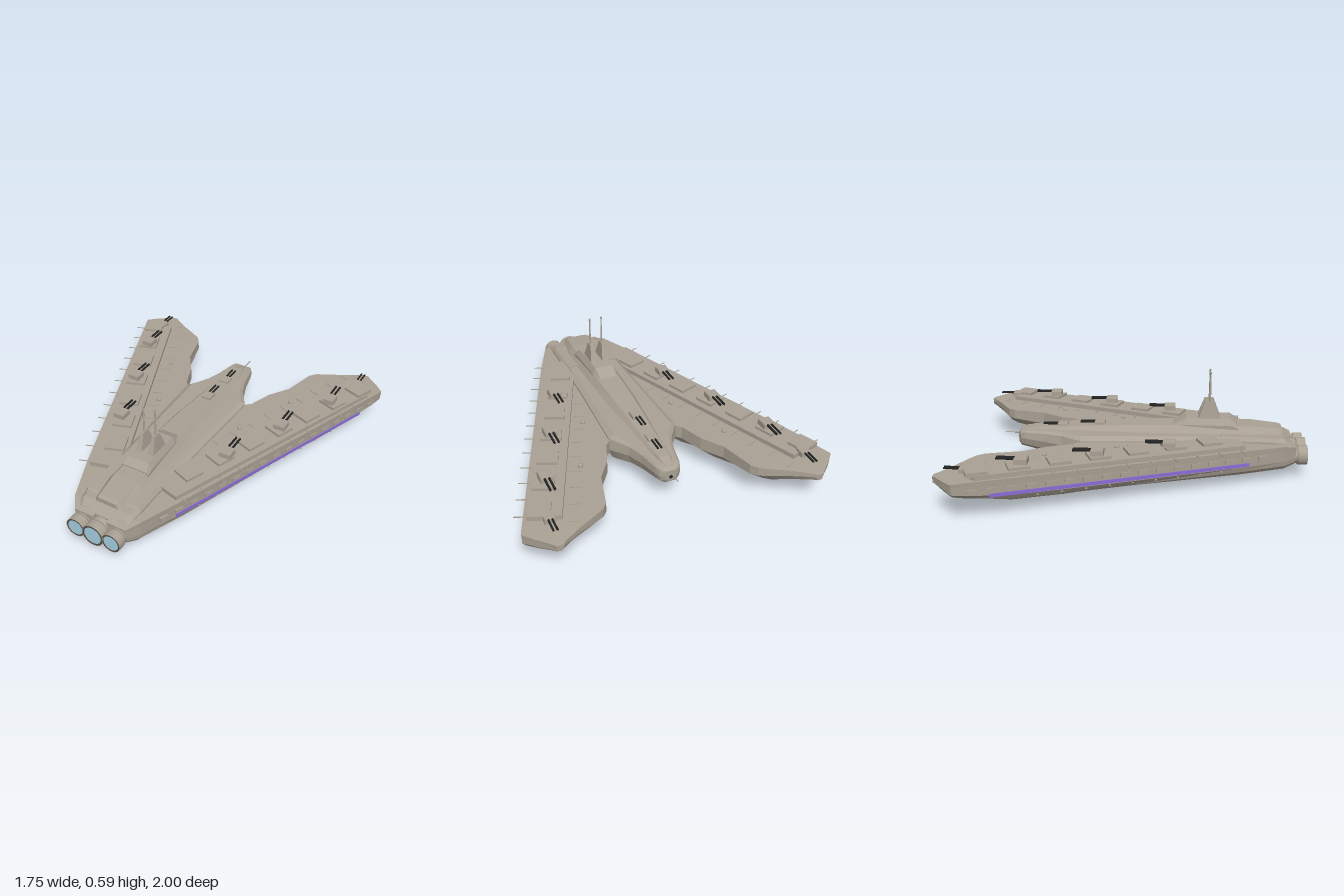
import * as THREE from 'three';

const mat = (name, color) => {
  const m = new THREE.MeshStandardMaterial({ color });
  m.name = name;
  return m;
};

export function createModel() {
  const ship = new THREE.Group();
  ship.name = 'carrierShip';
  const hullMat = mat('hull grey', 0xaaa194);
  const darkMat = mat('dark metal', 0x55514a);
  const gunMat = mat('gun black', 0x222222);
  const glowMat = mat('engine blue', 0xa5cfe2);
  const purpleMat = mat('purple stripe', 0x8a6cd6);
  hullMat.flatShading = true;

  const add = (geo, m, name, x = 0, y = 0, z = 0, parent = ship) => {
    const mesh = new THREE.Mesh(geo, m);
    mesh.name = name;
    mesh.position.set(x, y, z);
    parent.add(mesh);
    return mesh;
  };
  const box = (w, h, d) => new THREE.BoxGeometry(w, h, d);

  // Flat-faced skin through a list of rings, capped at both ends, always facing outward
  function loft(rings) {
    const tris = [], n = rings[0].length;
    for (let i = 0; i + 1 < rings.length; i++) {
      for (let j = 0; j < n; j++) {
        const k = (j + 1) % n, a = rings[i], b = rings[i + 1];
        tris.push([a[j], a[k], b[k]], [a[j], b[k], b[j]]);
      }
    }
    const a = rings[0], b = rings[rings.length - 1];
    for (let j = 1; j + 1 < n; j++) tris.push([a[0], a[j + 1], a[j]], [b[0], b[j], b[j + 1]]);
    let volume = 0;
    const p = new THREE.Vector3(), q = new THREE.Vector3(), r = new THREE.Vector3();
    for (const t of tris) volume += p.fromArray(t[0]).dot(q.fromArray(t[1]).cross(r.fromArray(t[2])));
    if (volume < 0) tris.forEach(t => t.reverse());
    const g = new THREE.BufferGeometry();
    g.setAttribute('position', new THREE.Float32BufferAttribute(tris.flat(2), 3));
    g.computeVertexNormals();
    return g;
  }
  // Ring at depth z from the right half of a profile, mirrored
  const mirrorRing = (half, z) => [
    ...half.map(([x, y]) => [x, y, z]),
    ...half.slice().reverse().map(([x, y]) => [-x, y, z]),
  ];

  // Central hull: z, half width, bottom, top
  const hullSections = [
    [0.91, 0.165, 0.075, 0.19], [0.86, 0.178, 0.06, 0.23], [0.72, 0.185, 0.052, 0.238],
    [0.2, 0.195, 0.05, 0.24], [-0.3, 0.215, 0.055, 0.238], [-0.34, 0.19, 0.06, 0.237],
    [-0.42, 0.135, 0.08, 0.236], [-0.52, 0.1, 0.1, 0.234], [-0.64, 0.075, 0.125, 0.23],
    [-0.67, 0.062, 0.13, 0.225], [-0.685, 0.035, 0.145, 0.21],
  ];
  add(loft(hullSections.map(([z, w, b, t]) => {
    const h = t - b;
    return mirrorRing([[w * 0.5, b], [w * 0.85, b + h * 0.2], [w, b + h * 0.55],
      [w * 0.94, t - h * 0.1], [w * 0.8, t]], z);
  })), hullMat, 'centralHull');

  // Spine, raised bridge and keel: z, lower half width, upper half width, top
  const ridge = (rows, base) => loft(rows.map(([z, w, u, t]) =>
    mirrorRing([[w, base], [w, base + (t - base) * 0.4], [u, t]], z)));
  add(ridge([[0.86, 0.075, 0.055, 0.258], [0.84, 0.085, 0.058, 0.265], [0.68, 0.112, 0.072, 0.28],
    [0.3, 0.108, 0.07, 0.283], [0, 0.1, 0.06, 0.275], [-0.3, 0.078, 0.045, 0.258],
    [-0.6, 0.047, 0.03, 0.246], [-0.66, 0.035, 0.02, 0.228]], 0.2), hullMat, 'spine');
  add(ridge([[0.6, 0.088, 0.078, 0.287], [0.56, 0.086, 0.065, 0.32], [0.3, 0.075, 0.056, 0.32],
    [0.22, 0.07, 0.05, 0.276]], 0.26), hullMat, 'bridge');
  const keel = [[0.06, 0.9], [0, 0.7], [0, 0], [0.06, -0.26]];
  add(loft([-0.0125, 0.0125].map(x => keel.map(([y, z]) => [x, y, z]))), hullMat, 'keel');

  // Bow probe and port
  add(new THREE.CylinderGeometry(0.003, 0.003, 0.1, 6).rotateX(Math.PI / 2), hullMat, 'bowProbe', 0, 0.2, -0.72);
  add(new THREE.CylinderGeometry(0.01, 0.01, 0.006, 12).rotateX(Math.PI / 2), gunMat, 'bowPort', 0, 0.17, -0.686);

  // Engines: tapered housing, nozzle, dark rim, glowing disc
  for (const [x, r, end] of [[-0.112, 0.057, 0.997], [0, 0.066, 1], [0.112, 0.057, 0.997]]) {
    const p = [[0, -0.18], [r * 0.85, -0.18], [r * 0.92, -0.08], [r * 0.86, -0.068], [r * 0.86, -0.06],
      [r, -0.05], [r, 0], [r * 0.97, 0]].map(a => new THREE.Vector2(...a));
    add(new THREE.LatheGeometry(p, 24).rotateX(Math.PI / 2), hullMat, 'engineNozzle', x, 0.126, end);
    add(new THREE.RingGeometry(r * 0.8, r * 0.98, 24), darkMat, 'engineRim', x, 0.126, end - 0.001);
    add(new THREE.CircleGeometry(r * 0.81, 24), glowMat, 'engineGlow', x, 0.126, end - 0.003);
  }

  // Twin-barrel turret, barrels toward the bow
  function turret(x, y, z, size = 1) {
    const g = new THREE.Group();
    g.name = 'turret';
    g.position.set(x, y, z);
    g.scale.setScalar(size);
    ship.add(g);
    const outline = [[-0.034, -0.034], [0.034, -0.034], [0.034, 0.036], [-0.034, 0.036]];
    add(loft([[0, 1], [0.03, 1], [0.036, 0.92]].map(([h, k]) =>
      outline.map(([a, b]) => [a * k, h, b * k]))), hullMat, 'turretBody', 0, 0, 0, g);
    for (const s of [-1, 1]) {
      add(new THREE.CylinderGeometry(0.0065, 0.0065, 0.1, 8).rotateX(Math.PI / 2), gunMat, 'gunBarrel', s * 0.012, 0.028, -0.08, g);
    }
  }
  turret(0, 0.25, -0.205, 0.88);
  turret(0, 0.235, -0.425, 0.88);

  // Wing plan: outer edge is straight; z, inner x, outer x, bottom, top
  const slope = 0.378;
  const outer = z => 0.185 + (0.95 - z) * slope;
  const tilt = Math.atan(slope);
  const wingSections = [
    [0.93, 0.04, 0.16, 0.085, 0.185], [0.86, 0.04, 0.208, 0.065, 0.205], [0.6, 0.05, outer(0.6), 0.06, 0.21],
    [0, 0.05, outer(0), 0.058, 0.21], [-0.28, 0.17, outer(-0.28), 0.06, 0.21],
    [-0.34, 0.23, outer(-0.34), 0.06, 0.21], [-0.48, 0.28, outer(-0.48), 0.062, 0.21],
    [-0.6, 0.36, outer(-0.6), 0.066, 0.21], [-0.8, 0.41, outer(-0.8), 0.1, 0.21],
    [-0.84, 0.44, outer(-0.84), 0.11, 0.209], [-0.87, 0.49, 0.872, 0.12, 0.208],
    [-0.92, 0.585, 0.825, 0.137, 0.206], [-0.98, 0.68, 0.757, 0.158, 0.202], [-1, 0.7, 0.738, 0.165, 0.2],
  ];
  const wingRing = (s, [z, a, b, lo, hi]) => {
    const w = b - a, h = hi - lo;
    return [[a + 0.002, hi], [b, hi], [b - 0.002, hi - h * 0.2], [b - 0.004, lo + h * 0.36],
      [b - w * 0.06, lo + h * 0.16], [b - w * 0.17, lo], [a + w * 0.2, lo], [a, lo + h * 0.5]]
      .map(([x, y]) => [s * x, y, z]);
  };

  for (const s of [1, -1]) {
    add(loft(wingSections.map(r => wingRing(s, r))), hullMat, 'wing');

    // Raised gun deck
    const deck = [[0.165, 0.4], [0.655, -0.84], [0.795, -0.79], [0.815, -0.76], [0.28, 0.63], [0.165, 0.6]];
    add(loft([0.2, 0.235].map(y => deck.map(([x, z]) => [s * x, y, z]))), hullMat, 'gunDeck');

    // Box aligned with the outer wing edge, off = distance outward
    const edgeBox = (name, m, z, off, y, w, h, d) => {
      const x = outer(z) + off * Math.cos(tilt);
      add(box(w, h, d), m, name, s * x, y, z + off * Math.sin(tilt)).rotation.y = -s * tilt;
    };

    // Deck plates
    for (let i = 0; i < 7; i++) {
      add(box(0.115, 0.025, 0.115), hullMat, 'deckPlate', s * (0.24 + 0.085 * i), 0.238, 0.43 - 0.2 * i).rotation.y = -s * tilt;
    }
    // Side bays, stripe and lower ports
    for (let i = 0; i < 17; i++) edgeBox('sideBay', hullMat, 0.73 - i * 0.094, -0.003, 0.158, 0.014, 0.024, 0.05);
    edgeBox('sideStripe', purpleMat, -0.02, -0.003, 0.128, 0.008, 0.019, 1.44);
    for (let i = 0; i < 9; i++) edgeBox('lowerPort', hullMat, 0.5 - i * 0.12, -0.012, 0.103, 0.012, 0.006, 0.012);

    // Whisker antennas along both deck edges
    for (let i = 0; i < 12; i++) {
      const z = 0.61 - i * 0.124;
      edgeBox('outerWhisker', hullMat, z, 0.006, 0.212, 0.08, 0.004, 0.004);
      if (i > 2) edgeBox('innerWhisker', hullMat, z - 0.04, -0.25, 0.216, 0.06, 0.004, 0.004);
    }
    for (const [x, z] of [[0.43, -0.47], [0.28, -0.085]]) {
      add(new THREE.SphereGeometry(0.014, 12, 8), hullMat, 'sensorDome', s * x, 0.215, z);
    }

    // Wing guns
    for (const [x, z] of [[0.355, 0.205], [0.505, -0.175], [0.65, -0.555]]) turret(s * x, 0.248, z);
    turret(s * 0.72, 0.22, -0.83, 0.85);

    // Mast with antenna
    const mast = [[0.02, 0.5, 0.37, 0.315], [0.008, 0.46, 0.41, 0.42]].map(([w, z1, z0, y]) =>
      [[-w, z0], [w, z0], [w, z1], [-w, z1]].map(([x, z]) => [s * 0.037 + x, y, z]));
    add(loft(mast), hullMat, 'mast');
    add(new THREE.CylinderGeometry(0.004, 0.006, 0.17, 8), hullMat, 'antenna', s * 0.037, 0.5, 0.438);
    add(new THREE.SphereGeometry(0.007, 10, 8), hullMat, 'antennaTip', s * 0.037, 0.586, 0.438);

    // Stern shoulder fairing above the side engine
    const fairing = [[0.9, 0.07, 0.14, 0.2], [0.8, 0.055, 0.16, 0.238], [0.5, 0.05, 0.16, 0.245]];
    add(loft(fairing.map(([z, a, b, t]) => [[a, 0.15], [b + 0.015, 0.15], [b + 0.015, t - 0.02], [b, t], [a, t]]
      .map(([x, y]) => [s * x, y, z]))), hullMat, 'sternFairing');
  }
  return ship;
}
